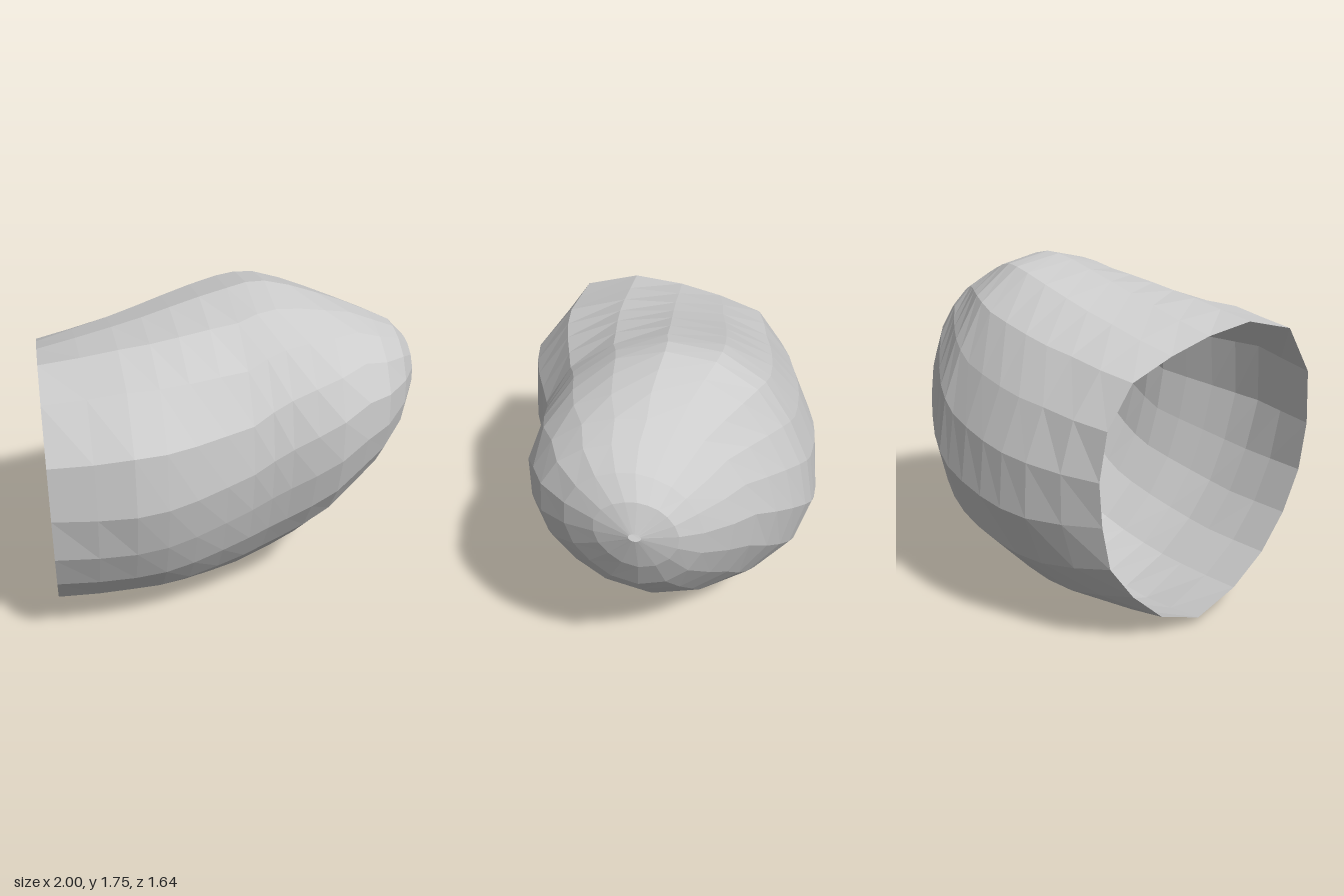
import * as THREE from 'three';

const SIDES = 18;

// Radii of the key outlines at equal angles, from the lowest point round by the front, top and back.
const OUTLINE_X = [-0.98, -0.6, 0, 0.6];
const OUTLINES = [
  [.76, .71, .68, .67, .69, .73, .81, .85, .77, .69, .67, .71, .69, .65, .63, .66, .67, .72],
  [.8, .72, .69, .69, .72, .8, .89, .9, .82, .77, .76, .78, .77, .78, .79, .79, .78, .78],
  [.78, .74, .68, .65, .64, .68, .74, .78, .8, .83, .84, .81, .76, .77, .81, .82, .79, .78],
  [.67, .64, .6, .59, .58, .57, .53, .48, .44, .42, .41, .42, .44, .48, .54, .59, .63, .66],
];

// Stations along the body: x, lowest y, highest y, rearmost z, foremost z.
const STATIONS = [
  [-0.98, .04, 1.53, -.62, .75],
  [-0.6, 0, 1.58, -.77, .82],
  [-0.3, .035, 1.655, -.82, .77],
  [0, .12, 1.73, -.81, .67],
  [0.2, .2, 1.75, -.76, .65],
  [0.46, .385, 1.68, -.61, .64],
  [0.73, .665, 1.57, -.41, .525],
  [0.86, .825, 1.505, -.28, .385],
  [0.95, 1.02, 1.41, -.17, .23],
  [1, 1.22, 1.265, 0, .06],
];

const outlineAt = new THREE.LinearInterpolant(OUTLINE_X, OUTLINES.flat(), SIDES);
const stationAt = new THREE.CubicInterpolant(STATIONS.map((_, i) => i), STATIONS.flat(), 5);

// Rings fall on and halfway between the stations of the body, and only on those of the tip
const RINGS = [0, .5, 1, 1.5, 2, 2.5, 3, 3.5, 4, 4.5, 5, 5.5, 6, 7, 8, 9];

// Spread values so that they run exactly from lo to hi.
function fit(values, lo, hi) {
  const min = Math.min(...values), max = Math.max(...values);
  return values.map((v) => THREE.MathUtils.mapLinear(v, min, max, lo, hi));
}

function createShellGeometry() {
  const positions = [], index = [];
  RINGS.forEach((t, r) => {
    const [x, y0, y1, z0, z1] = stationAt.evaluate(t);
    const radii = Array.from(outlineAt.evaluate(x));
    const angle = (k) => (k / SIDES) * Math.PI * 2;
    const zs = fit(radii.map((d, k) => d * Math.sin(angle(k))), z0, z1);
    const ys = fit(radii.map((d, k) => -d * Math.cos(angle(k))), y0, y1);
    for (let k = 0; k < SIDES; k++) {
      // The open rim leans slightly
      const lean = r === 0 ? -0.027 * zs[k] : 0;
      positions.push(x + lean, ys[k], zs[k]);
      if (r === RINGS.length - 1) continue;
      const a = r * SIDES + k, b = r * SIDES + (k + 1) % SIDES;
      index.push(a, a + SIDES, b, b, a + SIDES, b + SIDES);
    }
  });
  const geometry = new THREE.BufferGeometry();
  geometry.setAttribute('position', new THREE.Float32BufferAttribute(positions, 3));
  geometry.setIndex(index);
  geometry.computeVertexNormals();
  return geometry;
}

export function createModel() {
  const group = new THREE.Group();
  group.name = 'openShell';
  // Thin shell, open at the wide end with a pinhole at the tip
  const shell = new THREE.Mesh(createShellGeometry(), new THREE.MeshStandardMaterial({
    color: 0xcccccc, flatShading: true, side: THREE.DoubleSide,
  }));
  shell.name = 'shell';
  group.add(shell);
  return group;
}
